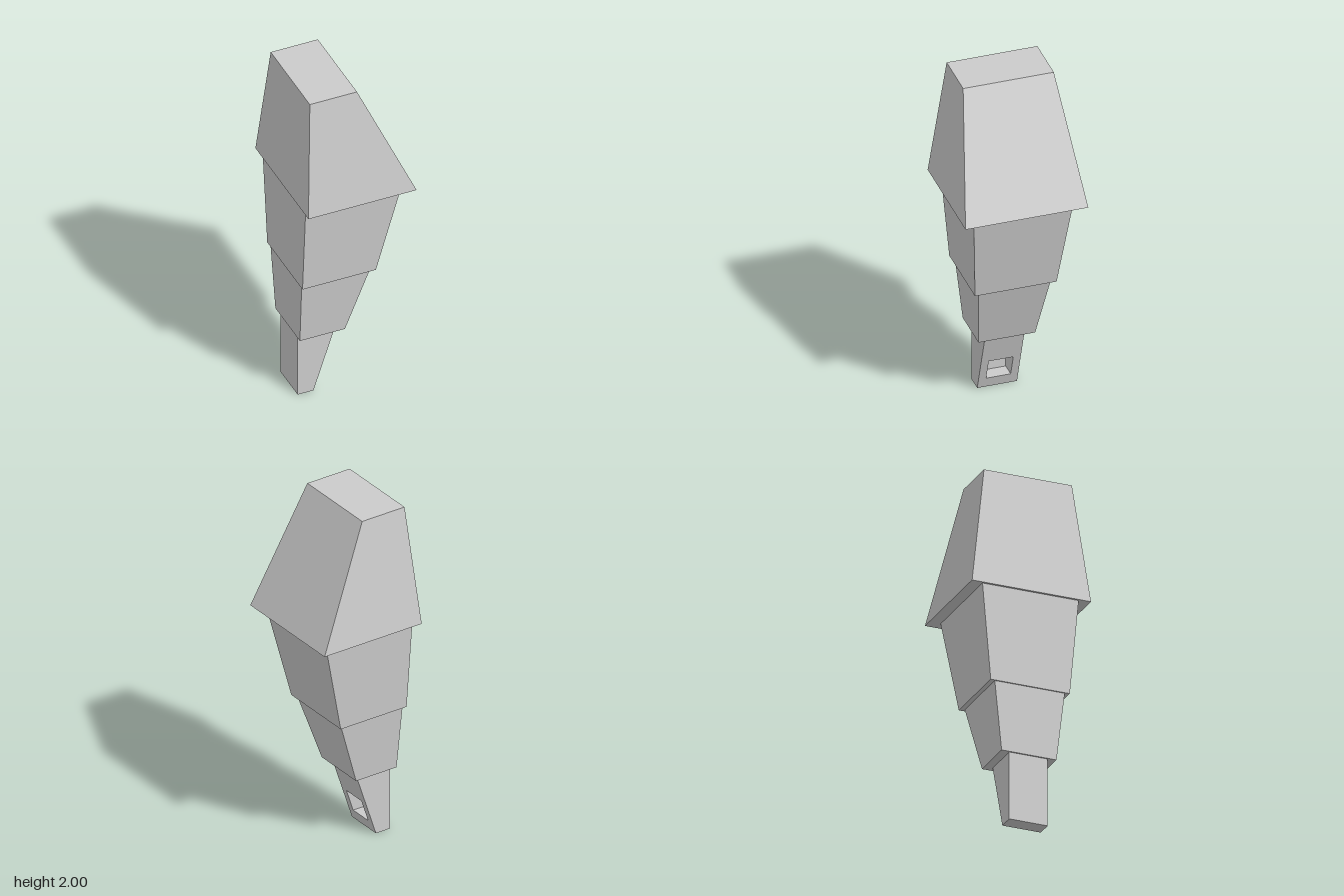
import * as THREE from 'three';

const material = new THREE.MeshStandardMaterial({ color: 0xcccccc, flatShading: true });

// Four corners facing +x: bottom front, bottom back, top back, top front
const ring = (y0, y1, xBottom, xTop, zBottom, zTop) => [
  [xBottom, y0, zBottom], [xBottom, y0, -zBottom],
  [xTop, y1, -zTop], [xTop, y1, zTop],
];

// Closed flat-sided solid running through four-cornered rings
function loft(name, rings) {
  const positions = [];
  const quad = (a, b, c, d) => positions.push(...a, ...b, ...c, ...a, ...c, ...d);
  quad(...[...rings[0]].reverse());
  for (let k = 0; k < rings.length - 1; k++) {
    const a = rings[k], b = rings[k + 1];
    for (let i = 0; i < 4; i++) {
      const j = (i + 1) % 4;
      quad(a[i], a[j], b[j], b[i]);
    }
  }
  quad(...rings[rings.length - 1]);
  const geometry = new THREE.BufferGeometry();
  geometry.setAttribute('position', new THREE.Float32BufferAttribute(positions, 3));
  geometry.computeVertexNormals();
  const mesh = new THREE.Mesh(geometry, material);
  mesh.name = name;
  return mesh;
}

export function createModel() {
  const group = new THREE.Group();
  group.name = 'steppedTaperedBody';

  // Tapered blocks: y range, then [left x, right x, half depth] at bottom and top
  const blocks = [
    ['topBlock', 1.323, 2, [-0.312, 0.31, 0.34], [-0.264, 0.007, 0.251]],
    ['upperBlock', 0.777, 1.323, [-0.295, 0.127, 0.226], [-0.299, 0.254, 0.275]],
    ['lowerBlock', 0.387, 0.777, [-0.279, -0.02, 0.157], [-0.288, 0.108, 0.2]],
  ];
  for (const [name, y0, y1, b, t] of blocks) {
    group.add(loft(name, [
      ring(y0, y1, b[0], t[0], b[2], t[2]),
      ring(y0, y1, b[1], t[1], b[2], t[2]),
    ]));
  }

  // Tip with a square pocket sunk into its sloping side
  const height = 0.387, low = 0.065, high = 0.196, half = 0.068;
  const slopeX = (y) => -0.18 + (0.127 * y) / height;
  group.add(loft('pocketedTip', [
    ring(0, height, -0.271, -0.271, 0.11, 0.11),
    ring(0, height, slopeX(0), slopeX(height), 0.11, 0.11),
    ring(low, high, slopeX(low), slopeX(high), half, half),
    ring(low, high, -0.24, -0.24, half, half),
  ]));

  return group;
}
